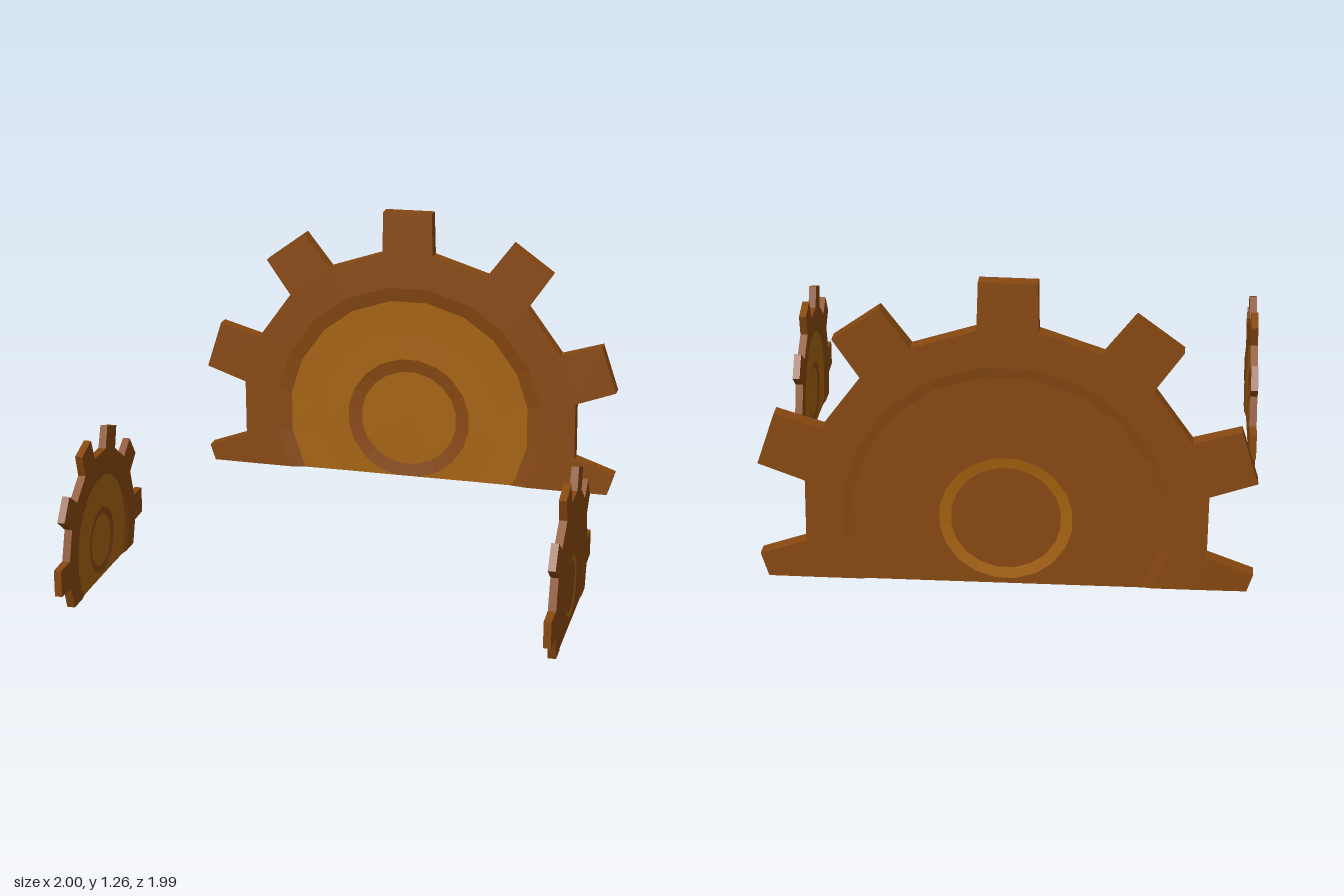
import * as THREE from 'three';

const brown = new THREE.MeshStandardMaterial({ color: 0x874810 });
brown.name = 'copperBrown';
const ochre = new THREE.MeshStandardMaterial({ color: 0xa4620f });
ochre.name = 'ochre';
const dark = new THREE.MeshStandardMaterial({ color: 0x1c1a10, side: THREE.DoubleSide });
dark.name = 'darkCut';

const TEETH = 10, HALF = 0.033, ROOT = 0.79, TIP = 0.975, TOOTH_ANGLE = 8.5;

// Face profile from the front hub, over the rim, to the back hub: [radius, depth, material of the band up to the next ring]
const FRONT = [
  [0, 0.010, ochre], [0.225, 0.010, brown], [0.287, 0.018, ochre],
  [0.42, 0.017, ochre], [0.565, 0.020, brown], [0.63, HALF, brown], [ROOT, HALF],
];
const BACK = [
  [ROOT, -HALF, brown], [0.64, -HALF, brown], [0.60, -0.027, brown],
  [0.26, -0.027, ochre], [0.215, -0.021, brown], [0, -0.021],
];

// Collects polygons, keeping only what lies above the floor, and records the cut edges
function makeCutter(matrix) {
  const faces = new Map([[brown, []], [ochre, []]]);
  const cuts = [];
  const add = (material, ...corners) => {
    const world = corners.map((p) => p.clone().applyMatrix4(matrix));
    const kept = [], edge = [];
    world.forEach((a, i) => {
      const b = world[(i + 1) % world.length];
      if (a.y >= 0) kept.push(a);
      if ((a.y >= 0) !== (b.y >= 0)) {
        const hit = a.clone().lerp(b, a.y / (a.y - b.y));
        kept.push(hit);
        edge.push(hit);
      }
    });
    for (let i = 1; i + 1 < kept.length; i++) faces.get(material).push(kept[0], kept[i], kept[i + 1]);
    if (edge.length === 2) cuts.push(edge);
  };
  return { faces, cuts, add };
}

function toMesh(name, points, material) {
  const geometry = new THREE.BufferGeometry().setFromPoints(points);
  geometry.computeVertexNormals();
  const mesh = new THREE.Mesh(geometry, material);
  mesh.name = name;
  return mesh;
}

function makeGear(name, centre, rotation, scale, phase) {
  const matrix = new THREE.Matrix4().compose(
    centre, new THREE.Quaternion().setFromEuler(rotation), new THREE.Vector3(scale, scale, scale));
  const { faces, cuts, add } = makeCutter(matrix);
  const rad = THREE.MathUtils.degToRad;
  const at = (r, angle, z) => new THREE.Vector3(r * Math.cos(angle), r * Math.sin(angle), z);
  const tipRadius = Math.hypot(TIP, 0.112);
  const tipAngle = Math.atan2(0.112, TIP);

  for (let i = 0; i < TEETH * 2; i++) {
    const isTooth = i % 2 === 0;
    const mid = rad(phase + i * 18);
    const half = rad(isTooth ? TOOTH_ANGLE : 18 - TOOTH_ANGLE);
    const a = mid - half, b = mid + half;

    // Stepped front and back faces
    for (const profile of [FRONT, BACK]) {
      for (let k = 0; k + 1 < profile.length; k++) {
        const [r0, z0, material] = profile[k];
        const [r1, z1] = profile[k + 1];
        const p = at(r0, a, z0), q = at(r1, a, z1), s = at(r1, b, z1), t = at(r0, b, z0);
        if (r0 === 0) add(material, p, q, s);
        else if (r1 === 0) add(material, p, q, t);
        else add(material, p, q, s, t);
      }
    }

    // Rim: a flat wall in each gap, a block for each tooth
    const f0 = at(ROOT, a, HALF), f1 = at(ROOT, b, HALF);
    const k0 = at(ROOT, a, -HALF), k1 = at(ROOT, b, -HALF);
    if (!isTooth) {
      add(brown, f0, k0, k1, f1);
      continue;
    }
    const tipHalf = HALF - 0.002;
    const tf0 = at(tipRadius, mid - tipAngle, tipHalf), tf1 = at(tipRadius, mid + tipAngle, tipHalf);
    const tk0 = at(tipRadius, mid - tipAngle, -tipHalf), tk1 = at(tipRadius, mid + tipAngle, -tipHalf);
    add(brown, f0, tf0, tf1, f1);
    add(brown, k0, k1, tk1, tk0);
    add(brown, tf0, tk0, tk1, tf1);
    add(brown, f0, k0, tk0, tf0);
    add(brown, f1, tf1, tk1, k1);
  }

  // Flat base: join every cut edge to the middle plane of the gear
  const axis = new THREE.Vector3(0, 0, 1).applyEuler(rotation);
  const flat = axis.clone().setY(0).normalize();
  const toMiddle = (p) => p.clone().addScaledVector(flat, -p.clone().sub(centre).dot(axis) / flat.dot(axis));
  const base = [];
  for (const [p, q] of cuts) {
    const pm = toMiddle(p), qm = toMiddle(q);
    base.push(p, q, qm, p, qm, pm);
  }

  const gear = new THREE.Group();
  gear.name = name;
  gear.add(
    toMesh('toothedBody', faces.get(brown), brown),
    toMesh('dishAndHubRing', faces.get(ochre), ochre),
    toMesh('cutBase', base, dark));
  return gear;
}

export function createModel() {
  const model = new THREE.Group();
  model.name = 'halfGears';
  // Large gear at the back, leaning very slightly
  model.add(makeGear('largeGear', new THREE.Vector3(-0.003, 0.28, -0.946),
    new THREE.Euler(rad1(-0.9), rad1(-0.3), 0), 1, 90.7));
  // Two small gears facing each other
  for (const side of [1, -1]) {
    model.add(makeGear(side > 0 ? 'leftGear' : 'rightGear', new THREE.Vector3(side * 0.983, 0.155, 0.517),
      new THREE.Euler(0, -side * Math.PI / 2, 0), 0.49, 0));
  }
  return model;
}

function rad1(degrees) {
  return THREE.MathUtils.degToRad(degrees);
}
